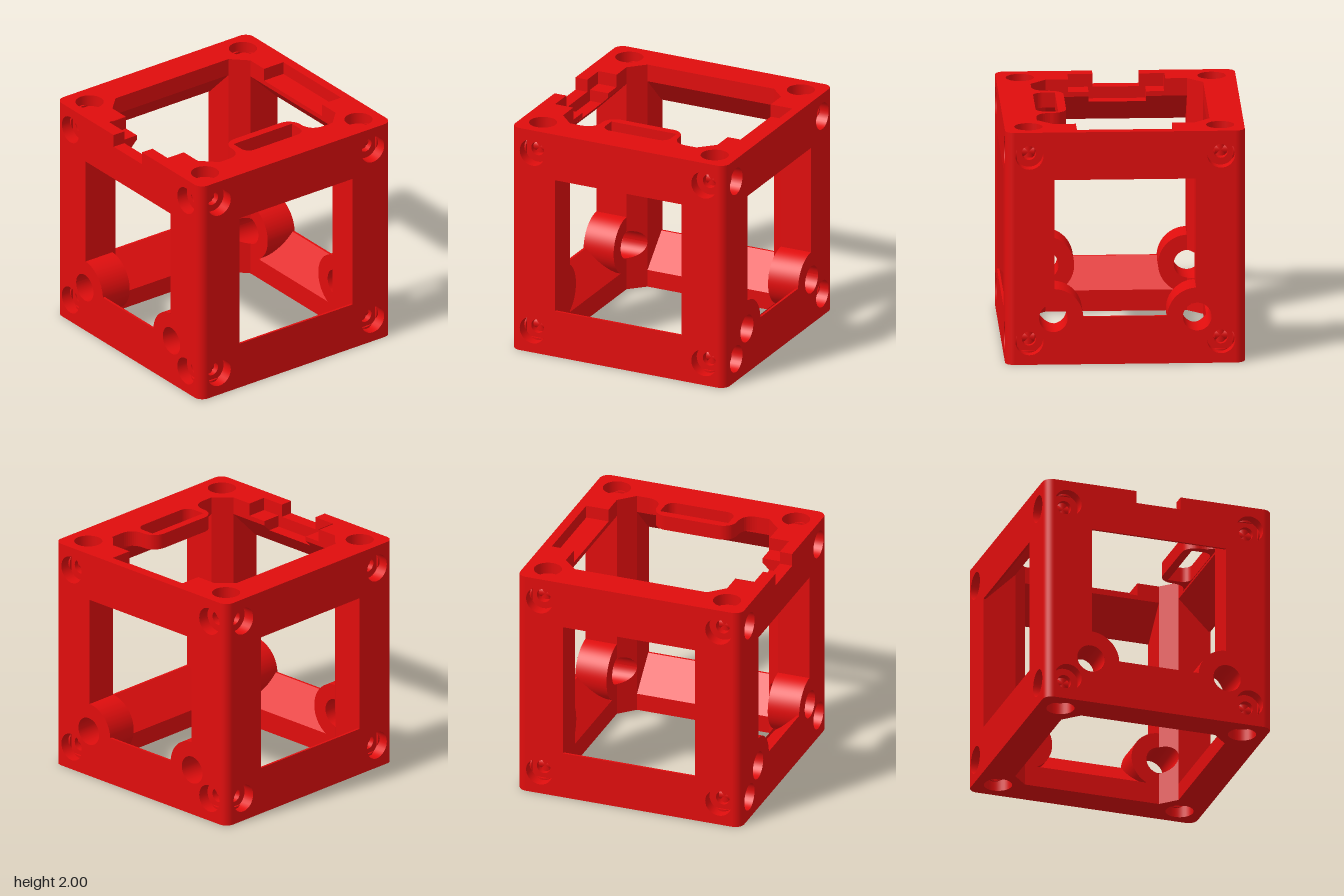
import * as THREE from 'three';

const mat = new THREE.MeshStandardMaterial({ color: 0xe00d0d, side: THREE.DoubleSide });
const W = 0.59, C = 0.72, R = 0.08; // window half size, cavity half size, edge radius

function add(parent, name, geo) {
  const m = new THREE.Mesh(geo, mat);
  m.name = name;
  parent.add(m);
  return m;
}

// Surface between two equally long rows of points
function loft(a, b, smooth = false) {
  const pos = [...a, ...b].flat(), idx = [], n = a.length;
  for (let i = 0; i < n - 1; i++) idx.push(i, i + 1, n + i, i + 1, n + i + 1, n + i);
  let g = new THREE.BufferGeometry();
  g.setAttribute('position', new THREE.Float32BufferAttribute(pos, 3));
  g.setIndex(idx);
  if (!smooth) g = g.toNonIndexed();
  g.computeVertexNormals();
  return g;
}

function polygon(pts) {
  return new THREE.Shape(pts.map(p => new THREE.Vector2(...p)));
}
function circle(x, y, r) {
  return new THREE.Path().absarc(x, y, r, 0, Math.PI * 2, true);
}
const sheet = s => new THREE.ShapeGeometry(s, 16);

// Outer face with window and corner bores; local z = 1, y from 0 to 2
function faceSheet(withBosses, notched) {
  const e = 1 - R;
  const s = notched
    ? polygon([[-e, 0], [e, 0], [e, 2], [0.19, 2], [0.19, 1.89], [-0.2, 1.89], [-0.2, 2], [-e, 2]])
    : polygon([[-e, 0], [e, 0], [e, 2], [-e, 2]]);
  const w = new THREE.Path();
  w.moveTo(W, 1.59).lineTo(-W, 1.59);
  if (withBosses) {
    w.lineTo(-W, 0.65).absarc(-0.6, 0.4, 0.25, Math.PI / 2, 0.04, true);
    w.lineTo(0.35, 0.41).absarc(0.6, 0.4, 0.25, Math.PI - 0.04, Math.PI / 2, true);
    w.lineTo(W, 0.65);
    for (const x of [-0.6, 0.6]) s.holes.push(circle(x, 0.4, 0.12));
  } else w.lineTo(-W, 0.41).lineTo(W, 0.41);
  w.closePath();
  s.holes.push(w);
  for (const x of [-0.8, 0.8]) for (const y of [0.2, 1.8]) s.holes.push(circle(x, y, 0.118));
  return sheet(s).translate(0, 0, 1);
}

// Rounded square outline from the front edge at x = a round to x = b
function roundOutline(a, b) {
  const s = new THREE.Shape(), e = 1 - R, P = Math.PI;
  s.moveTo(a, 1).lineTo(e, 1);
  s.absarc(e, e, R, P / 2, 0, true).lineTo(1, -e);
  s.absarc(e, -e, R, 0, -P / 2, true).lineTo(-e, -1);
  s.absarc(-e, -e, R, -P / 2, -P, true).lineTo(-1, e);
  s.absarc(-e, e, R, P, P / 2, true).lineTo(b, 1);
  return s;
}

// Counterbored screw hole, opening towards dir
function bore(parent, pos, dir) {
  const g = new THREE.Group();
  g.name = 'screwHole';
  g.position.copy(pos);
  g.lookAt(pos.clone().add(dir));
  const tube = (r, z0, z1) =>
    new THREE.CylinderGeometry(r, r, z1 - z0, 32, 1, true).rotateX(Math.PI / 2).translate(0, 0, (z0 + z1) / 2);
  add(g, 'counterbore', tube(0.118, -0.1, 0));
  add(g, 'boreFloor', new THREE.RingGeometry(0.06, 0.118, 32).translate(0, 0, -0.1));
  add(g, 'boltHole', tube(0.06, -0.25, -0.1));
  parent.add(g);
}

// Inner side of a bar. Profile points are [distance from centre, height from the outer plane]
function bar(parent, name, turn, top, x0, x1, profile) {
  const row = x => profile.map(([d, h]) => [x, top ? 2 - h : h, d]);
  add(parent, name, loft(row(x0), row(x1))).rotation.y = turn;
}
// Upright wall across a bar, same profile coordinates
function stepWall(parent, turn, x, pts) {
  const g = sheet(polygon(pts.map(([d, h]) => [d, 2 - h]))).rotateY(-Math.PI / 2).translate(x, 0, 0);
  add(parent, 'stepWall', g).rotation.y = turn;
}

export function createModel() {
  const root = new THREE.Group();
  root.name = 'cubeFrame';
  const quarter = Math.PI / 2;

  // Upright outer faces and rounded edges
  for (let k = 0; k < 4; k++) {
    add(root, 'sideFace', faceSheet(k % 2 === 0, k === 0)).rotation.y = k * quarter;
    const edge = new THREE.CylinderGeometry(R, R, 2, 8, 1, true, 0, quarter).translate(1 - R, 1, 1 - R);
    add(root, 'roundedEdge', edge).rotation.y = k * quarter;
  }

  // Bottom and top faces
  const oct = [[C, W], [W, C], [-W, C], [-C, W], [-C, -W], [-W, -C], [W, -C], [C, -W]];
  const bottom = roundOutline(0, 0);
  bottom.holes.push(polygon(oct));
  const top = roundOutline(0.19, -0.2);
  [[-0.2, 0.89], [-0.41, 0.89], [-0.41, C], [-W, C], [-C, W], [-C, -W], [-W, -C], [-0.4, -C], [-0.4, -0.92],
    [0.4, -0.92], [0.4, -C], [W, -C], [C, -W], [C, W], [W, C], [0.4, C], [0.4, 0.89], [0.19, 0.89]]
    .forEach(p => top.lineTo(...p));
  for (const s of [bottom, top])
    for (const x of [-0.8, 0.8]) for (const z of [-0.8, 0.8]) s.holes.push(circle(x, z, 0.118));
  add(root, 'bottomFace', sheet(bottom).rotateX(quarter));
  add(root, 'topFace', sheet(top).rotateX(quarter).translate(0, 2, 0));

  // Screw holes on all three faces of each corner
  for (const x of [-1, 1]) for (const y of [-1, 1]) for (const z of [-1, 1])
    ['x', 'y', 'z'].forEach(axis => {
      const dir = new THREE.Vector3();
      dir[axis] = { x, y, z }[axis];
      const pos = new THREE.Vector3(x, y, z).multiplyScalar(0.8);
      pos[axis] = dir[axis];
      pos.y += 1;
      bore(root, pos, dir);
    });

  // Inner sides of the bars: sill, slope, upright lip
  const slope = [[1, 0.41], [0.98, 0.41], [C, 0.15]];
  const plain = [...slope, [C, 0]];
  for (const k of [1, 3]) {
    bar(root, 'bottomSideBar', k * quarter, false, -W, W, plain);
    bar(root, 'topSideBar', k * quarter, true, -W, W, plain);
  }
  for (const k of [0, 2]) {
    const t = k * quarter, d = k ? 0.92 : 0.89;
    bar(root, 'bottomBar', t, false, -0.48, 0.48, plain);
    bar(root, 'bottomBarLip', t, false, -W, W, [[C, 0.18], [C, 0]]);
    const recess = [...slope, [C, 0.11], [d, 0.11], [d, 0]];
    for (const s of [-1, 1]) {
      bar(root, 'topBar', t, true, s * 0.4, s * W, plain);
      stepWall(root, t, s * 0.4, [[C, 0], [d, 0], [d, 0.11], [C, 0.11]]);
    }
    if (k) bar(root, 'topBarRecess', t, true, -0.4, 0.4, recess);
    else {
      // Front bar: deeper middle slot and a notch through the outer face
      const slot = [[1, 0.41], [0.98, 0.41], [0.78, 0.21], [d, 0.21]];
      bar(root, 'topBarRecess', t, true, -0.4, -0.25, recess);
      bar(root, 'topBarSlot', t, true, -0.25, -0.2, [...slot, [d, 0]]);
      bar(root, 'topBarNotch', t, true, -0.2, 0.19, [...slot, [d, 0.11], [1, 0.11]]);
      bar(root, 'topBarSlot', t, true, 0.19, 0.23, [...slot, [d, 0]]);
      bar(root, 'topBarRecess', t, true, 0.23, 0.4, recess);
      for (const x of [-0.25, 0.23])
        stepWall(root, t, x, [[C, 0.11], [C, 0.15], [0.78, 0.21], [d, 0.21], [d, 0.11]]);
      for (const x of [-0.2, 0.19]) stepWall(root, t, x, [[d, 0], [1, 0], [1, 0.11], [d, 0.11]]);
    }
  }

  // Corner posts with the round bosses at their feet
  for (const sx of [-1, 1]) for (const sz of [-1, 1]) {
    const g = new THREE.Group();
    g.name = 'cornerPost';
    g.scale.set(sx, 1, sz);
    root.add(g);
    add(g, 'frontJamb', loft([[W, 0.64, C], [W, 0.64, 1]], [[W, 2, C], [W, 2, 1]]));
    add(g, 'sideJamb', loft([[C, 0, W], [1, 0, W]], [[C, 2, W], [1, 2, W]]));
    // Chamfered inner face, opened where the boss hole passes
    const ch = new THREE.Shape();
    ch.moveTo(W, 0).lineTo(C, 0).lineTo(C, 2).lineTo(W, 2).lineTo(W, 0.52);
    ch.absarc(0.6, 0.4, 0.12, 1.65, -1.65, true);
    ch.lineTo(W, 0);
    const cg = sheet(ch), p = cg.attributes.position;
    for (let i = 0; i < p.count; i++) p.setZ(i, W + C - p.getX(i));
    cg.computeVertexNormals();
    add(g, 'postChamfer', cg);
    // Boss: outer wall, end ring and through hole
    const arc = (r, a0, a1, z) => Array.from({ length: 41 }, (_, i) => {
      const a = a0 + (a1 - a0) * i / 40, x = 0.6 + r * Math.cos(a);
      return [x, 0.4 + r * Math.sin(a), z ?? Math.min(C, W + C - x)];
    });
    add(g, 'bossWall', loft(arc(0.25, 1.5, 4.72, C), arc(0.25, 1.5, 4.72, 1), true));
    add(g, 'bossEnd', loft(arc(0.12, 1.5, 4.8, C), arc(0.25, 1.5, 4.8, C)));
    add(g, 'bossHole', loft(arc(0.12, 0, Math.PI * 2), arc(0.12, 0, Math.PI * 2, 1), true));
  }

  // Slotted loop on the inner edge of the top
  const lp = new THREE.Shape();
  lp.moveTo(C, -0.48).quadraticCurveTo(0.71, -0.37, 0.6, -0.36);
  lp.lineTo(0.58, -0.36).absarc(0.58, -0.24, 0.12, -quarter, -Math.PI, true);
  lp.lineTo(0.46, 0.24).absarc(0.58, 0.24, 0.12, Math.PI, quarter, true);
  lp.lineTo(0.6, 0.36).quadraticCurveTo(0.71, 0.37, C, 0.48);
  const sl = new THREE.Path();
  sl.moveTo(0.53, -0.31).lineTo(0.635, -0.31).absarc(0.635, -0.23, 0.08, -quarter, 0, false);
  sl.lineTo(0.715, 0.22).absarc(0.635, 0.22, 0.08, 0, quarter, false);
  sl.lineTo(0.53, 0.3);
  lp.holes.push(sl);
  add(root, 'topLoop', new THREE.ExtrudeGeometry(lp, { depth: 0.13, bevelEnabled: false, curveSegments: 10 })
    .rotateX(quarter).translate(0, 2, 0));
  return root;
}
